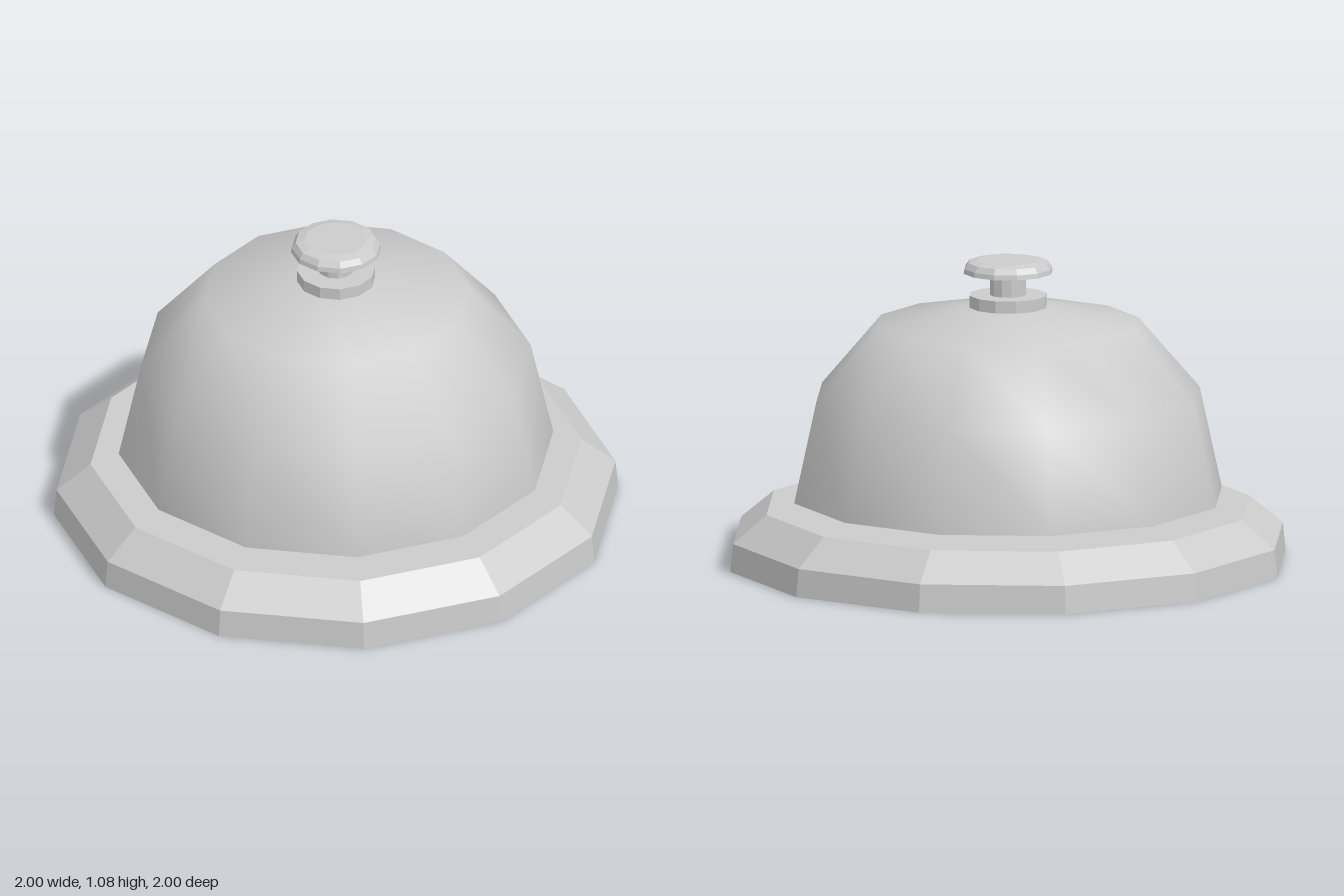
import * as THREE from 'three';

const SIDES = 12;

// Twelve-sided turned part; profile runs counter-clockwise as [radius, height]
function turned(name, profile, flatShading) {
  const points = profile.map(([r, y]) => new THREE.Vector2(r, y));
  const material = new THREE.MeshStandardMaterial({ color: 0xcccccc, flatShading });
  const mesh = new THREE.Mesh(new THREE.LatheGeometry(points, SIDES), material);
  mesh.name = name;
  return mesh;
}

export function createModel() {
  const bell = new THREE.Group();
  bell.name = 'deskBell';

  // Solid foot with a bevelled shoulder
  bell.add(turned('base', [[0, 0], [1, 0], [0.99, 0.1], [0.87, 0.2], [0, 0.2]], true));

  // Hollow smooth dome: inner wall down to the rim, outer wall back up
  bell.add(turned('dome', [
    [0, 0.9], [0.13, 0.89], [0.455, 0.835], [0.665, 0.59], [0.745, 0.237],
    [0.77, 0.237], [0.69, 0.6], [0.47, 0.857], [0.13, 0.916], [0, 0.925],
  ], false));

  // Collar, stem and push button
  bell.add(turned('collar', [[0, 0.9], [0.138, 0.9], [0.138, 0.958], [0, 0.958]], true));
  bell.add(turned('stem', [[0, 0.95], [0.065, 0.95], [0.065, 1.045], [0, 1.045]], true));
  bell.add(turned('button', [
    [0, 1.038], [0.16, 1.038], [0.157, 1.055], [0.143, 1.075], [0.11, 1.083], [0, 1.083],
  ], true));

  return bell;
}
